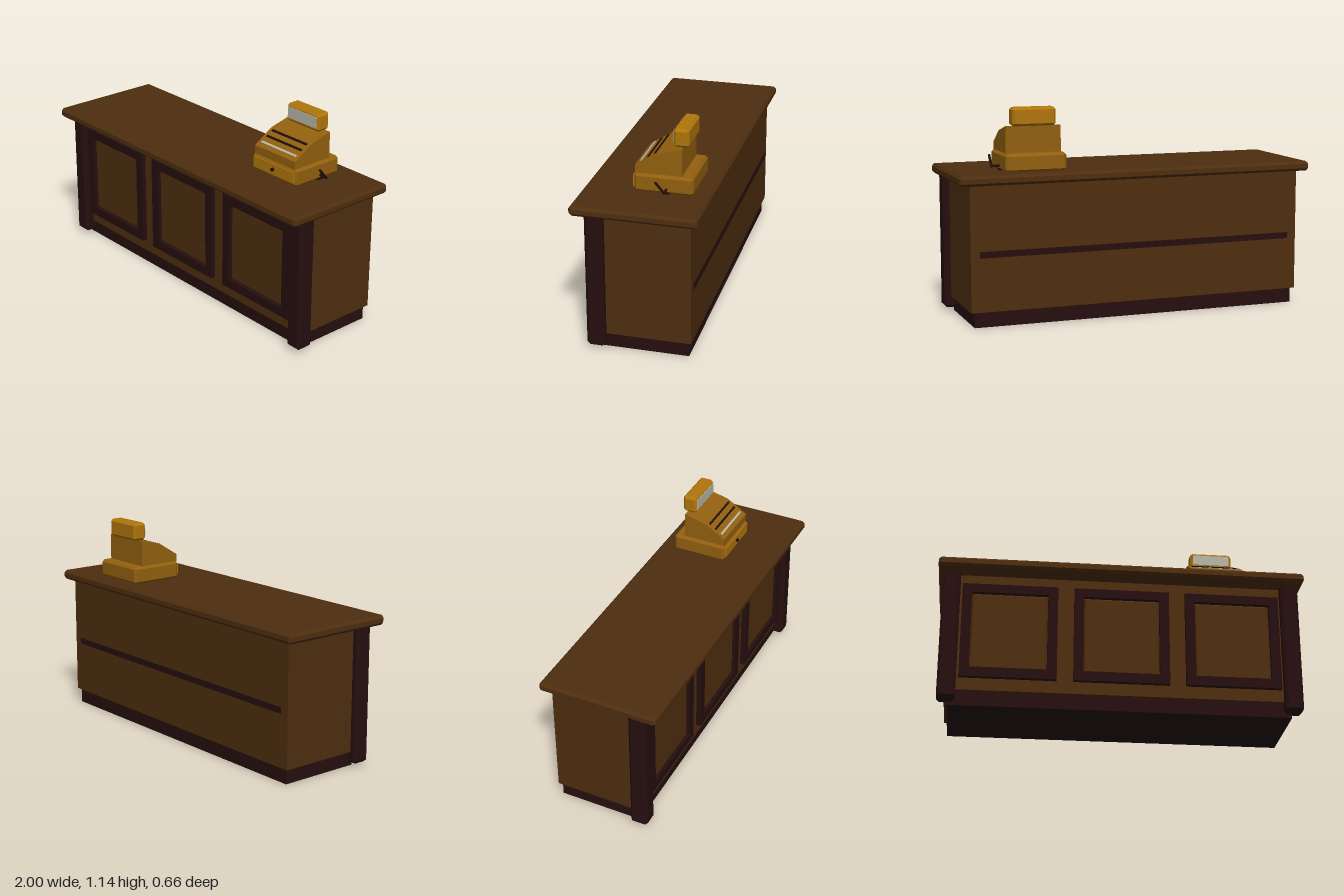
import * as THREE from 'three';
import { ConvexGeometry } from 'three/addons/geometries/ConvexGeometry.js';

function makeMaterial(name, color) {
  const m = new THREE.MeshStandardMaterial({ color, flatShading: true });
  m.name = name;
  return m;
}

// Box given by its limits on each axis; a chamfer cuts every edge
function block(parent, name, mat, [x0, x1], [y0, y1], [z0, z1], chamfer = 0) {
  const w = (x1 - x0) / 2, h = (y1 - y0) / 2, d = (z1 - z0) / 2, c = chamfer;
  let geo;
  if (c > 0) {
    const pts = [];
    for (const sx of [-1, 1]) for (const sy of [-1, 1]) for (const sz of [-1, 1]) {
      pts.push(new THREE.Vector3(sx * w, sy * (h - c), sz * (d - c)));
      pts.push(new THREE.Vector3(sx * (w - c), sy * h, sz * (d - c)));
      pts.push(new THREE.Vector3(sx * (w - c), sy * (h - c), sz * d));
    }
    geo = new ConvexGeometry(pts);
  } else {
    geo = new THREE.BoxGeometry(2 * w, 2 * h, 2 * d);
  }
  const mesh = new THREE.Mesh(geo, mat);
  mesh.name = name;
  mesh.position.set((x0 + x1) / 2, (y0 + y1) / 2, (z0 + z1) / 2);
  parent.add(mesh);
  return mesh;
}

// Round bar between two points
function bar(parent, name, mat, a, b, radius) {
  const from = new THREE.Vector3(...a), to = new THREE.Vector3(...b);
  const dir = to.clone().sub(from);
  const mesh = new THREE.Mesh(new THREE.CylinderGeometry(radius, radius, dir.length(), 8), mat);
  mesh.name = name;
  mesh.position.copy(from).add(to).multiplyScalar(0.5);
  mesh.quaternion.setFromUnitVectors(new THREE.Vector3(0, 1, 0), dir.normalize());
  parent.add(mesh);
}

function rectangle(target, w, h) {
  target.moveTo(-w, -h);
  target.lineTo(w, -h);
  target.lineTo(w, h);
  target.lineTo(-w, h);
  target.closePath();
  return target;
}

export function createModel() {
  const wood = makeMaterial('wood', 0x4e2e0f);
  const darkWood = makeMaterial('dark wood', 0x260e0e);
  const brass = makeMaterial('brass', 0x93600f);
  const brightBrass = makeMaterial('bright brass', 0xb0760d);
  const glass = makeMaterial('display glass', 0xb8b8aa);
  const iron = makeMaterial('dark iron', 0x1e0e0a);

  const model = new THREE.Group();
  model.name = 'shopCounter';

  // Counter carcass
  const counter = new THREE.Group();
  counter.name = 'counter';
  model.add(counter);
  block(counter, 'plinth', darkWood, [-0.92, 0.92], [0, 0.083], [-0.273, 0.194]);
  block(counter, 'body', wood, [-0.94, 0.94], [0.083, 0.757], [-0.287, 0.21]);
  block(counter, 'countertop', wood, [-1, 1], [0.755, 0.808], [-0.33, 0.33], 0.014);
  block(counter, 'backRail', darkWood, [-0.89, 0.89], [0.372, 0.406], [-0.291, -0.28]);
  for (const s of [-1, 1]) {
    block(counter, s > 0 ? 'leftPost' : 'rightPost', darkWood,
      [s * 0.927 - 0.049, s * 0.927 + 0.049], [0.02, 0.77], [0.162, 0.259], 0.015);
  }

  // Three framed front panels
  for (const x of [-0.607, 0, 0.607]) {
    const shape = rectangle(new THREE.Shape(), 0.259, 0.272);
    shape.holes.push(rectangle(new THREE.Path(), 0.206, 0.222));
    const frame = new THREE.Mesh(
      new THREE.ExtrudeGeometry(shape, { depth: 0.03, bevelEnabled: false }), darkWood);
    frame.name = 'panelFrame';
    frame.position.set(x, 0.423, 0.206);
    counter.add(frame);
    block(counter, 'panel', wood, [x - 0.205, x + 0.205], [0.202, 0.644], [0.195, 0.222], 0.01);
  }

  // Cash register, centred on x = 0.563
  const register = new THREE.Group();
  register.name = 'cashRegister';
  register.position.x = 0.563;
  model.add(register);
  block(register, 'registerBase', brass, [-0.167, 0.167], [0.807, 0.904], [-0.241, 0.067], 0.013);
  block(register, 'drawerFront', brightBrass, [-0.152, 0.152], [0.828, 0.888], [0.06, 0.075]);
  bar(register, 'drawerKnob', iron, [0, 0.859, 0.07], [0, 0.859, 0.087], 0.01);

  // Sloped housing: profile in (z, y), extruded across the width
  const profile = new THREE.Shape([
    [0.064, 0.9], [0.064, 0.945], [-0.05, 1.016], [-0.181, 1.048], [-0.181, 0.9],
  ].map(([z, y]) => new THREE.Vector2(-z, y)));
  const housingGeo = new THREE.ExtrudeGeometry(profile, { depth: 0.304, bevelEnabled: false });
  housingGeo.rotateY(Math.PI / 2);
  const housing = new THREE.Mesh(housingGeo, brass);
  housing.name = 'housing';
  housing.position.x = -0.152;
  register.add(housing);

  // Key rows laid on the slope
  const slope = Math.atan2(0.071, 0.114);
  [[-0.037, iron], [-0.001, iron], [0.036, glass]].forEach(([z, mat]) => {
    const y = 0.945 + (0.064 - z) * 0.071 / 0.114;
    const row = block(register, 'keyRow', mat, [-0.131, 0.131], [y - 0.004, y + 0.004],
      [z - 0.006, z + 0.006]);
    row.rotation.x = slope;
  });

  // Price display on top
  block(register, 'displayHousing', brightBrass, [-0.12, 0.12], [1.046, 1.145], [-0.208, -0.127], 0.013);
  block(register, 'displayWindow', glass, [-0.106, 0.106], [1.067, 1.127], [-0.13, -0.123]);

  // Side crank
  bar(register, 'crankAxle', iron, [0.16, 0.832, -0.104], [0.213, 0.832, -0.104], 0.007);
  bar(register, 'crankArm', iron, [0.21, 0.828, -0.107], [0.21, 0.886, -0.057], 0.007);
  block(register, 'crankFoot', iron, [0.15, 0.172], [0.807, 0.816], [-0.12, -0.086]);

  return model;
}
